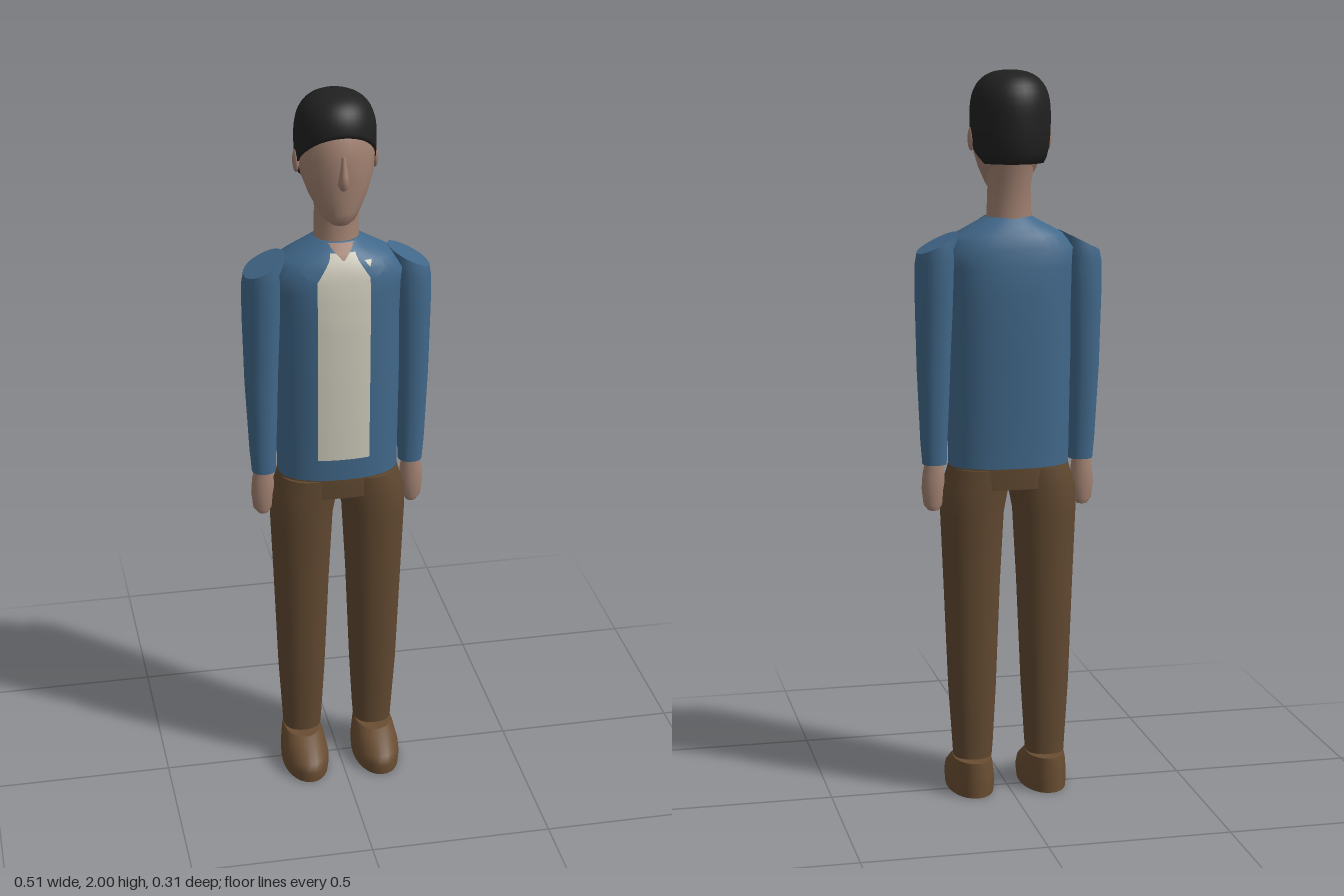
import * as THREE from 'three';

const SEG = 28;

// Linear lookup in a table of rows sorted by their first number
function sample(table, t) {
  if (t <= table[0][0]) return table[0];
  for (let i = 1; i < table.length; i++) {
    const a = table[i - 1], b = table[i];
    if (t <= b[0]) {
      const k = (t - a[0]) / (b[0] - a[0]);
      return a.map((v, n) => v + (b[n] - v) * k);
    }
  }
  return table[table.length - 1];
}

// Surface over rows of points; closed rows run round the part and get end caps
function surface(rows, closed) {
  const pos = [], idx = [], n = rows[0].length;
  rows.forEach((r) => r.forEach((p) => pos.push(...p)));
  for (let j = 0; j < rows.length - 1; j++) {
    for (let i = 0; i < (closed ? n : n - 1); i++) {
      const a = j * n + i, b = j * n + (i + 1) % n, c = a + n, d = b + n;
      if (closed) idx.push(a, c, b, b, c, d);
      else idx.push(a, b, c, b, d, c);
    }
  }
  if (closed) {
    [rows[0], rows[rows.length - 1]].forEach((r, top) => {
      const base = pos.length / 3;
      r.forEach((p) => pos.push(...p));
      pos.push(...[0, 1, 2].map((k) => r.reduce((s, p) => s + p[k], 0) / n));
      for (let i = 0; i < n; i++) {
        const a = base + i, b = base + (i + 1) % n;
        if (top) idx.push(base + n, b, a);
        else idx.push(base + n, a, b);
      }
    });
  }
  const g = new THREE.BufferGeometry();
  g.setAttribute('position', new THREE.Float32BufferAttribute(pos, 3));
  g.setIndex(idx);
  g.computeVertexNormals();
  return g;
}

// Loft through rings given as [y, xMin, xMax, zMin, zMax, slope across x]
function loft(rings, power = 2, side = 1) {
  const bend = (v) => Math.sign(v) * Math.abs(v) ** (2 / power);
  return surface(rings.map(([y, x0, x1, z0, z1, slope = 0]) => {
    const row = [];
    for (let i = 0; i < SEG; i++) {
      const a = i / SEG * Math.PI * 2;
      const dx = (x1 - x0) / 2 * bend(Math.cos(a));
      const z = (z0 + z1) / 2 + (z1 - z0) / 2 * bend(Math.sin(a));
      row.push([side * (x0 + x1) / 2 + dx, y + side * slope * dx, z]);
    }
    return row;
  }), true);
}

// Jacket body, also the base for the shirt and collar plates
const TORSO_POWER = 2.3;
const torso = [
  [0.935, -0.166, 0.166, -0.117, 0.086],
  [1.1, -0.168, 0.168, -0.124, 0.092],
  [1.25, -0.17, 0.17, -0.132, 0.096],
  [1.4, -0.172, 0.172, -0.138, 0.098],
  [1.48, -0.178, 0.178, -0.134, 0.095],
  [1.53, -0.19, 0.19, -0.126, 0.09],
  [1.565, -0.148, 0.148, -0.115, 0.08],
  [1.59, -0.1, 0.1, -0.098, 0.064],
  [1.612, -0.06, 0.06, -0.078, 0.038],
];

// Thin plate lying on the jacket front, from rows [y, xMin, xMax]
function plate(rows, lift, side = 1) {
  const y0 = rows[0][0], y1 = rows[rows.length - 1][0], grid = [];
  const steps = Math.max(8, Math.ceil((y1 - y0) / 0.02));
  for (let j = 0; j <= steps; j++) {
    const y = y0 + (y1 - y0) * j / steps;
    const [, a, b] = sample(rows, y);
    const [, , hx, z0, z1] = sample(torso, y);
    const row = [];
    for (let i = 0; i <= 8; i++) {
      const u = a + (b - a) * (side > 0 ? i : 8 - i) / 8;
      const f = Math.max(0, 1 - Math.abs(u / hx) ** TORSO_POWER) ** (1 / TORSO_POWER);
      row.push([side * u, y, (z0 + z1) / 2 + (z1 - z0) / 2 * f + lift]);
    }
    grid.push(row);
  }
  return surface(grid, false);
}

// Short hair: hairline height depends on direction, from the back to the front
function hairGeometry() {
  const hairline = [[-1, 1.757], [-0.5, 1.757], [0, 1.8], [0.3, 1.835], [0.82, 1.89], [1, 1.908]];
  const radius = (y) => (y > 1.88
    ? Math.max(0, 1 - ((y - 1.88) / 0.12) ** 2.6) ** (1 / 2.6)
    : 1 - 0.15 * ((1.88 - y) / 0.125) ** 3);
  const rows = [];
  for (let j = -1; j <= 14; j++) {
    const row = [];
    for (let i = 0; i < 36; i++) {
      const a = i / 36 * Math.PI * 2;
      const h = sample(hairline, Math.sin(a))[1];
      const y = h + (2 - h) * Math.sin(Math.max(j, 0) / 14 * Math.PI / 2);
      const r = radius(y) * (j < 0 ? 0.82 : 1);
      row.push([0.108 * r * Math.cos(a), y, -0.039 + 0.116 * r * Math.sin(a)]);
    }
    rows.push(row);
  }
  return surface(rows, true);
}

export function createModel() {
  const model = new THREE.Group();
  model.name = 'standingMan';
  const material = (name, color, side = THREE.FrontSide) => {
    const m = new THREE.MeshStandardMaterial({ color, side });
    m.name = name;
    return m;
  };
  const skin = material('skin', 0xa08070, THREE.DoubleSide);
  const hair = material('hair', 0x202020);
  const denim = material('jacketBlue', 0x41688a, THREE.DoubleSide);
  const cream = material('shirtCream', 0xcfccbc, THREE.DoubleSide);
  const brown = material('trouserBrown', 0x604830);
  const leather = material('shoeBrown', 0x694d32);
  const add = (name, geometry, mat) => {
    const mesh = new THREE.Mesh(geometry, mat);
    mesh.name = name;
    model.add(mesh);
    return mesh;
  };
  const ball = (name, mat, p, s) => {
    const mesh = add(name, new THREE.SphereGeometry(1, 16, 12), mat);
    mesh.position.set(...p);
    mesh.scale.set(...s);
    return mesh;
  };

  // Head and neck
  add('neck', loft([
    [1.58, -0.062, 0.062, -0.082, 0.04],
    [1.63, -0.06, 0.06, -0.08, 0.032],
    [1.69, -0.058, 0.058, -0.083, 0.032],
    [1.76, -0.068, 0.068, -0.1, 0.04],
  ]), skin);
  add('head', loft([
    [1.662, -0.025, 0.025, 0, 0.052],
    [1.675, -0.042, 0.042, -0.03, 0.068],
    [1.7, -0.058, 0.058, -0.06, 0.074],
    [1.74, -0.078, 0.078, -0.085, 0.077],
    [1.79, -0.096, 0.096, -0.12, 0.081],
    [1.84, -0.102, 0.102, -0.142, 0.082],
    [1.89, -0.101, 0.101, -0.143, 0.074],
    [1.94, -0.088, 0.088, -0.13, 0.052],
    [1.97, -0.055, 0.055, -0.09, 0.01],
  ]), skin);
  add('nose', loft([
    [1.768, -0.008, 0.008, 0.06, 0.082],
    [1.785, -0.016, 0.016, 0.055, 0.099],
    [1.81, -0.012, 0.012, 0.055, 0.095],
    [1.86, -0.007, 0.007, 0.055, 0.083],
  ]), skin);
  add('hair', hairGeometry(), hair);

  // Jacket, shirt and open neck
  add('jacketBody', loft(torso, TORSO_POWER), denim);
  add('shirtFront', plate([
    [1, -0.072, 0.07], [1.53, -0.072, 0.07], [1.592, -0.04, 0.04],
  ], 0.005), cream);
  add('openNeck', plate([[1.575, -0.002, 0.002], [1.612, -0.036, 0.036]], 0.008), skin);
  add('collarPin', plate([[1.558, 0.068, 0.07], [1.574, 0.055, 0.075]], 0.014), cream);

  // Trouser seat
  add('trouserSeat', loft([
    [0.875, -0.182, 0.182, -0.108, 0.08],
    [0.93, -0.168, 0.168, -0.111, 0.083],
    [0.95, -0.16, 0.16, -0.108, 0.078],
  ], 2.3), brown);

  for (const side of [1, -1]) {
    const label = side > 0 ? 'left' : 'right';
    ball(label + 'Ear', skin, [side * 0.105, 1.82, -0.033], [0.009, 0.032, 0.018]);
    add(label + 'Collar', plate([
      [1.515, 0.078, 0.082], [1.55, 0.055, 0.113],
      [1.58, 0.036, 0.09], [1.61, 0.03, 0.055],
    ], 0.01, side), denim);

    // Sleeve with a sloping shoulder
    add(label + 'Sleeve', loft([
      [0.938, 0.172, 0.238, -0.044, 0.022],
      [1.0, 0.17, 0.243, -0.05, 0.026],
      [1.2, 0.162, 0.252, -0.072, 0.038],
      [1.4, 0.15, 0.256, -0.088, 0.05],
      [1.5, 0.142, 0.255, -0.095, 0.056, -0.25],
      [1.543, 0.14, 0.25, -0.088, 0.05, -0.5],
    ], 2.2, side), denim);

    // Hand
    add(label + 'Hand', loft([
      [0.81, 0.194, 0.224, -0.03, 0.006],
      [0.825, 0.184, 0.236, -0.035, 0.012],
      [0.87, 0.176, 0.241, -0.038, 0.016],
      [0.91, 0.178, 0.238, -0.036, 0.014],
      [0.96, 0.185, 0.228, -0.032, 0.01],
    ], 2, side), skin);

    // Trouser leg
    add(label + 'Leg', loft([
      [0.105, 0.05, 0.157, -0.074, 0.036],
      [0.14, 0.047, 0.159, -0.075, 0.038],
      [0.3, 0.038, 0.169, -0.085, 0.053],
      [0.6, 0.026, 0.18, -0.096, 0.07],
      [0.8, 0.015, 0.188, -0.104, 0.079],
      [0.87, 0.002, 0.186, -0.107, 0.082],
      [0.93, -0.01, 0.166, -0.105, 0.08],
    ], 2.2, side), brown);

    // Shoe
    add(label + 'Shoe', loft([
      [0, 0.04, 0.168, -0.1, 0.15],
      [0.03, 0.037, 0.17, -0.101, 0.154],
      [0.055, 0.04, 0.168, -0.101, 0.145],
      [0.085, 0.047, 0.162, -0.1, 0.095],
      [0.1, 0.052, 0.157, -0.098, 0.065],
    ], 2.1, side), leather);
  }
  return model;
}
